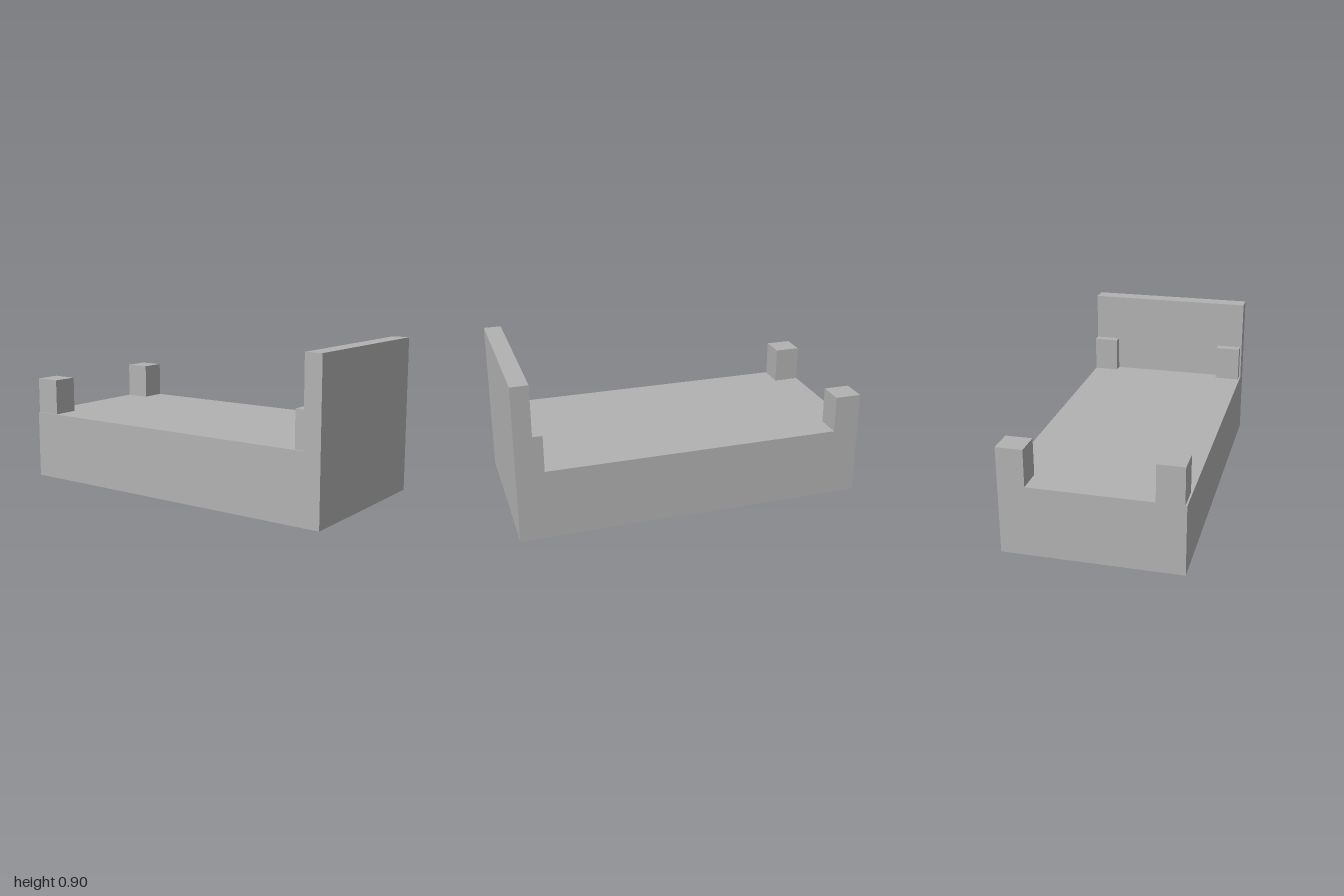
import * as THREE from 'three';

const grey = new THREE.MeshStandardMaterial({ color: 0xb2b2b2 });
grey.name = 'plain grey';

// Box given by its minimum and maximum corners
function block(name, [x0, y0, z0], [x1, y1, z1]) {
  const mesh = new THREE.Mesh(new THREE.BoxGeometry(x1 - x0, y1 - y0, z1 - z0), grey);
  mesh.position.set((x0 + x1) / 2, (y0 + y1) / 2, (z0 + z1) / 2);
  mesh.name = name;
  return mesh;
}

export function createModel() {
  const bed = new THREE.Group();
  bed.name = 'bed';

  const baseTop = 0.4, postTop = 0.61, boardX = 0.9;

  // Solid bed base and tall headboard
  bed.add(block('base', [-1, 0, -0.5], [1, baseTop, 0.5]));
  bed.add(block('headboard', [boardX, baseTop, -0.5], [1, 0.9, 0.5]));

  // Corner posts: two at the foot, two butting against the headboard;
  // the front pair is set in slightly from the edge
  for (const [side, z0] of [['back', -0.5], ['front', 0.34]]) {
    bed.add(block(side + 'FootPost', [-1, baseTop, z0], [-0.85, postTop, z0 + 0.15]));
    bed.add(block(side + 'HeadPost', [0.845, baseTop, z0], [boardX, postTop, z0 + 0.15]));
  }
  return bed;
}
